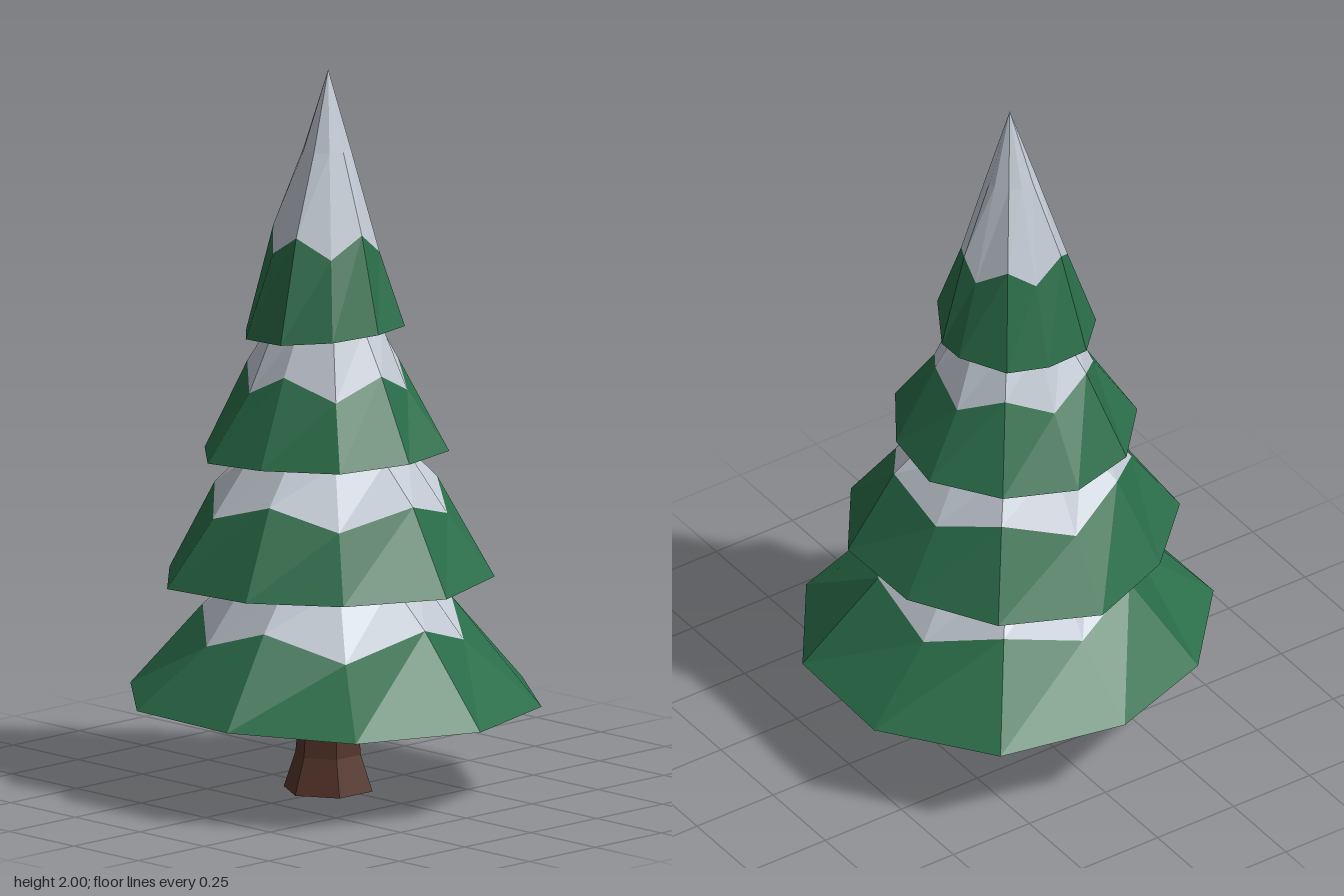
import * as THREE from 'three';

const green = new THREE.MeshStandardMaterial({ color: 0x2a6d49 });
green.name = 'needle green';
const shade = new THREE.MeshStandardMaterial({ color: 0x1c4833 });
shade.name = 'underside green';
const white = new THREE.MeshStandardMaterial({ color: 0xc2c9d3 });
white.name = 'snow white';
const brown = new THREE.MeshStandardMaterial({ color: 0x54342a });
brown.name = 'bark brown';

const CX = -0.015, CZ = -0.02; // trunk axis

// Each tier: rim corners [x, z] clockwise from the back, rim height and tilt,
// the zigzag snow line [high, low, scale of the rim], then snow rings above it [height, scale].
const TIERS = [
  {
    rim: [[-0.01, -0.578], [0.345, -0.5], [0.555, -0.2], [0.54, 0.165], [0.325, 0.46],
      [-0.02, 0.575], [-0.38, 0.46], [-0.555, 0.14], [-0.555, -0.21], [-0.325, -0.47]],
    y: 0.262, tilt: [-0.01, -0.015], line: [0.5, 0.43, 0.635], rings: [[0.61, 0.42], [0.68, 0.27]],
  },
  {
    rim: [[0.006, -0.495], [0.27, -0.38], [0.41, -0.145], [0.415, 0.13], [0.25, 0.355],
      [-0.035, 0.46], [-0.29, 0.32], [-0.435, 0.09], [-0.455, -0.195], [-0.255, -0.39]],
    y: 0.603, tilt: [0.01, 0.01], line: [0.84, 0.78, 0.715], rings: [[0.945, 0.48], [1.02, 0.3]],
  },
  {
    rim: [[-0.005, -0.363], [0.19, -0.285], [0.315, -0.115], [0.29, 0.08], [0.17, 0.26],
      [-0.02, 0.3], [-0.225, 0.24], [-0.325, 0.035], [-0.345, -0.15], [-0.2, -0.31]],
    y: 0.945, tilt: [0.015, 0.03], line: [1.18, 1.12, 0.655], rings: [[1.3, 0.44], [1.38, 0.28]],
  },
  {
    rim: [[0, -0.23], [0.115, -0.195], [0.19, -0.075], [0.195, 0.0], [0.1, 0.16],
      [-0.02, 0.18], [-0.155, 0.14], [-0.245, 0.03], [-0.23, -0.12], [-0.13, -0.22]],
    y: 1.284, tilt: [0.04, 0.06], line: [1.56, 1.5, 0.67], rings: [[1.78, 0.3], [2, 0]],
  },
];

// Collects faceted triangles, leaving out collapsed ones
function facets() {
  const pos = [];
  const tri = (a, b, c) => {
    if (a.distanceTo(b) < 1e-6 || b.distanceTo(c) < 1e-6 || a.distanceTo(c) < 1e-6) return;
    for (const p of [a, b, c]) pos.push(p.x, p.y, p.z);
  };
  return {
    // split: the diagonal follows the higher corner of a zigzag
    band(low, high) {
      low.forEach((a, i) => {
        const j = (i + 1) % low.length;
        tri(low[j], a, high[i]);
        tri(low[j], high[i], high[j]);
      });
    },
    underside(ring, y) {
      const c = new THREE.Vector3(CX, y, CZ);
      ring.forEach((a, i) => tri(c, a, ring[(i + 1) % ring.length]));
    },
    mesh(name, material) {
      const g = new THREE.BufferGeometry();
      g.setAttribute('position', new THREE.Float32BufferAttribute(pos, 3));
      g.computeVertexNormals();
      const m = new THREE.Mesh(g, material);
      m.name = name;
      return m;
    },
  };
}

function makeTier({ rim, y, tilt, line, rings }) {
  const base = rim.map(([x, z]) => new THREE.Vector3(x, y + tilt[0] * x + tilt[1] * z, z));
  const scaled = ([x, z], h, s) => new THREE.Vector3(CX + (x - CX) * s, h, CZ + (z - CZ) * s);
  // Every second corner of the snow line hangs lower
  const snowLine = rim.map((p, i) => scaled(p, i % 2 ? line[0] : line[1], line[2]));
  const levels = [snowLine, ...rings.map(([h, s]) => rim.map((p) => scaled(p, h, s)))];

  const needles = facets();
  needles.band(base, snowLine);

  const underside = facets();
  underside.underside(base, y);

  const snow = facets();
  for (let i = 1; i < levels.length; i++) snow.band(levels[i - 1], levels[i]);

  const tier = new THREE.Group();
  tier.add(needles.mesh('needles', green), underside.mesh('underside', shade), snow.mesh('snow', white));
  return tier;
}

// Six-sided trunk with a flared foot
function makeTrunk() {
  const rings = [[0, 0.125], [0.1, 0.092], [0.3, 0.075]].map(([y, r]) =>
    Array.from({ length: 6 }, (_, i) => {
      const a = (i / 6) * Math.PI * 2;
      return new THREE.Vector3(CX + r * Math.cos(a), y, CZ + r * Math.sin(a));
    }));
  const bark = facets();
  bark.band(rings[0], rings[1]);
  bark.band(rings[1], rings[2]);
  bark.underside(rings[0], 0);
  return bark.mesh('trunk', brown);
}

export function createModel() {
  const tree = new THREE.Group();
  tree.name = 'snowyTree';
  tree.add(makeTrunk());
  TIERS.forEach((spec, i) => {
    const tier = makeTier(spec);
    tier.name = `branchTier${i + 1}`;
    tree.add(tier);
  });
  return tree;
}
